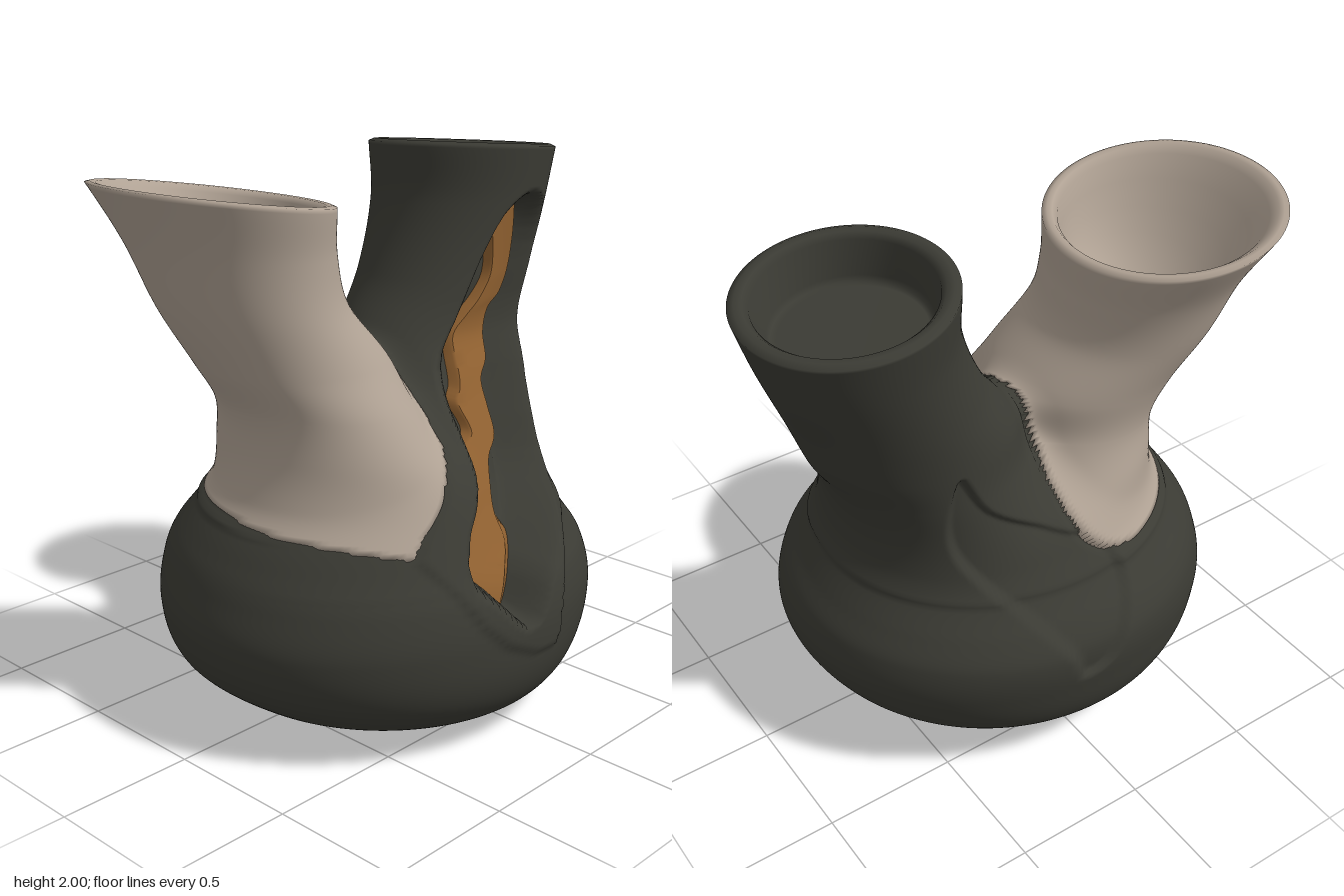
import * as THREE from 'three';
import { toCreasedNormals } from 'three/addons/utils/BufferGeometryUtils.js';

// Horizontal oval sections: [y, centre x, centre z, radius x, radius z]
const DARK = [
  [0, -.03, 0, .25, .32], [.015, -.03, 0, .42, .47], [.045, -.03, 0, .55, .56], [.1, -.04, .03, .65, .655],
  [.22, -.05, .015, .78, .75], [.4, -.035, 0, .845, .778], [.55, -.025, -.02, .815, .76], [.65, -.03, -.03, .76, .70],
  [.75, -.015, -.02, .685, .62], [.85, .06, -.015, .575, .55], [1, .2, -.03, .435, .455],
  [1.15, .31, -.07, .37, .375], [1.3, .39, -.13, .37, .31], [1.5, .5, -.15, .335, .31],
  [1.75, .6, -.17, .325, .33], [1.955, .64, -.185, .35, .355],
];
const LIGHT = [
  [.6, -.03, -.02, .79, .73], [.75, -.04, -.02, .66, .61], [.85, -.12, -.015, .525, .53],
  [1, -.25, -.03, .36, .45], [1.15, -.31, -.05, .31, .385], [1.3, -.37, -.1, .33, .35],
  [1.5, -.49, -.16, .31, .35], [1.7, -.55, -.195, .34, .375], [1.89, -.6, -.23, .395, .44],
];
// Rounded outlines in the x, y plane
const smoothLoop = (pts) => new THREE.CatmullRomCurve3(pts.map(([x, y]) => new THREE.Vector3(x, y, 0)), true)
  .getPoints(64).slice(0, -1).map((p) => [p.x, p.y]);
const WINDOW = smoothLoop([[-.245, .62], [-.17, .53], [-.06, .435], [.1, .57], [.2, .62], [.35, .71], [.47, .82], [.53, 1],
  [.6, 1.2], [.7, 1.45], [.755, 1.65], [.73, 1.76], [.64, 1.79], [.52, 1.73], [.4, 1.58], [.25, 1.36], [.1, 1.2],
  [.02, 1.02], [-.06, .89], [-.2, .73]]);
const LEAF = smoothLoop([[.39, 1.28], [.28, 1.1], [.05, .95], [-.12, .86], [-.18, .74], [-.12, .6], [-.02, .47], [.08, .45],
  [.12, .55], [.22, .68], [.34, .82], [.41, .94], [.43, 1.1]]);
const SEAM_SIDE = [[.7, -.41], [.75, -.37], [.87, -.23], [1.01, -.1], [1.18, -.035], [1.3, -.02], [2, -.02]]; // y -> x
const SEAM_LOW = [[-.7, .77], [-.4, .71], [-.33, .6], [-.27, .48], [-.18, .39], [-.05, .33], [.07, .32], [.1, .36],
  [.13, .46], [.2, .56], [.35, .65], [.6, .72], [.8, .75]]; // x -> y

const { clamp, lerp, smoothstep } = THREE.MathUtils;
const smin = (a, b, k) => Math.min(a, b) - Math.max(k - Math.abs(a - b), 0) ** 2 / (4 * k);

function linear(table, t) {
  let i = 0;
  while (i < table.length - 2 && t > table[i + 1][0]) i++;
  const [a, b] = [table[i], table[i + 1]];
  return lerp(a[1], b[1], clamp((t - a[0]) / (b[0] - a[0]), 0, 1));
}

// Smooth interpolation of the oval at height y
function section(table, y) {
  const n = table.length - 1;
  let i = 0;
  while (i < n - 1 && y > table[i + 1][0]) i++;
  const h = table[i + 1][0] - table[i][0], t = clamp((y - table[i][0]) / h, 0, 1);
  const slope = (j, c) => {
    const a = table[Math.max(j - 1, 0)], b = table[Math.min(j + 1, n)];
    return (b[c] - a[c]) / (b[0] - a[0]);
  };
  return [1, 2, 3, 4].map((c) => {
    const p = table[i][c], q = table[i + 1][c], u = 1 - t;
    return u * u * (1 + 2 * t) * p + t * u * u * h * slope(i, c) + t * t * (3 - 2 * t) * q - t * t * u * h * slope(i + 1, c);
  });
}

// Blended outline of both necks at height y; negative inside
function outline(y) {
  const d = section(DARK, y), l = section(LIGHT, y);
  const oval = ([cx, cz, rx, rz], x, z) => (Math.hypot((x - cx) / rx, (z - cz) / rz) - 1) * Math.min(rx, rz);
  const k = .002 + .14 * smoothstep(y, .6, .95);
  return (x, z) => (y < .6 ? oval(d, x, z) : smin(oval(d, x, z), oval(l, x, z), k));
}

// Distance inside a polygon (negative outside)
function inside(poly, x, y) {
  let best = Infinity, odd = false;
  poly.forEach(([ax, ay], i) => {
    const [bx, by] = poly[(i + 1) % poly.length], ex = bx - ax, ey = by - ay;
    const t = clamp(((x - ax) * ex + (y - ay) * ey) / (ex * ex + ey * ey), 0, 1);
    best = Math.min(best, Math.hypot(x - ax - t * ex, y - ay - t * ey));
    if ((ay > y) !== (by > y) && x < ax + ex * (y - ay) / ey) odd = !odd;
  });
  return odd ? best : -best;
}

// Positive where the light neck lies over the dark body
function lightCover(x, y, z) {
  const front = smoothstep(z, -.2, .15);
  const side = lerp(0, linear(SEAM_SIDE, y), front) - x;
  const low = y - lerp(.79, clamp(.77 - (x + .7) * .2, .7, .78), front);
  return smin(side, low, lerp(.3, .03, front));
}

// The light skin stands just proud, then dives well below the dark one
function lightOffset(x, y, z) {
  return clamp(lightCover(x, y, z) * 3, -.3, .008);
}

// Raised upper shell, deep front window recess and shallow back recess
function darkOffset(x, y, z) {
  const seam = z > 0 ? lerp(.75, linear(SEAM_LOW, x), smoothstep(z, .05, .3)) : .75;
  let off = .012 * Math.min(smoothstep(y - seam, -.005, .02), smoothstep(-lightCover(x, y, z), 0, .02));
  if (z > -.1 && y > .4) off -= lerp(.19, .12, smoothstep(y, 1, 1.5)) * smoothstep(inside(WINDOW, x, y), -.008, .045);
  if (z < -.3 && y > .4) off -= .025 * smoothstep(inside(LEAF, x, y), -.008, .02);
  return off;
}

// Lofts rows of [y, scale, isInner], tilts the rim and lifts by a share of the offset
function loft(table, rows, n, offset, lift, tiltX, tiltZ) {
  const pos = [], index = [];
  rows.forEach(([y, scale, inner], i) => {
    const [cx, cz, rx, rz] = section(table, y), f = outline(y);
    const reach = lerp(1.8, 1.35, smoothstep(y, .75, 1)), tilt = smoothstep(y, 1.4, 1.88);
    for (let j = 0; j < n; j++) {
      const a = (j / n) * Math.PI * 2, dx = Math.cos(a) * rx, dz = Math.sin(a) * rz;
      let s = 1, off = 0;
      if (!inner) {
        let lo = .9, hi = reach;
        for (let k = 0; k < 18; k++) {
          const m = (lo + hi) / 2;
          if (f(cx + dx * m, cz + dz * m) < 0) lo = m; else hi = m;
        }
        off = offset(cx + dx * lo, y, cz + dz * lo);
        s = lo + off / Math.hypot(dx, dz);
      }
      const ox = dx * s * scale, oz = dz * s * scale;
      pos.push(cx + ox, y + lift * off + tilt * (tiltX * ox + tiltZ * oz), cz + oz);
      if (i < rows.length - 1) {
        const p = i * n + j, q = i * n + (j + 1) % n;
        index.push(p, p + n, q, q, p + n, q + n);
      }
    }
  });
  const g = new THREE.BufferGeometry();
  g.setAttribute('position', new THREE.Float32BufferAttribute(pos, 3));
  g.setIndex(index);
  g.computeVertexNormals();
  return g;
}

const steps = (a, b, n) => Array.from({ length: n + 1 }, (_, i) => [a + (b - a) * i / n, 1, false]);

// Front surface depth at x, y
function frontZ(x, y) {
  const f = outline(y);
  let lo = section(DARK, y)[1], hi = 1;
  for (let k = 0; k < 20; k++) {
    const m = (lo + hi) / 2;
    if (f(x, m) < 0) lo = m; else hi = m;
  }
  return lo;
}

// Wavy ribbon between two edge curves, lying in the window recess
function ribbonGeometry() {
  const curve = (pts) => new THREE.CatmullRomCurve3(pts.map(([x, y]) => new THREE.Vector3(x, y, 0)));
  const left = curve([[.5, 1.69], [.505, 1.6], [.49, 1.5], [.43, 1.42], [.36, 1.36], [.29, 1.3], [.25, 1.21], [.21, 1.13],
    [.165, 1.08], [.15, .99], [.07, .95], [-.01, .89], [-.08, .82], [-.18, .73], [-.235, .66], [-.245, .61]]);
  const right = curve([[.67, 1.78], [.675, 1.62], [.66, 1.51], [.61, 1.42], [.54, 1.38], [.505, 1.28], [.465, 1.2],
    [.37, 1.14], [.345, 1.04], [.31, .95], [.22, .89], [.16, .8], [.13, .72], [.145, .65], [.04, .55], [-.06, .44]]);
  const across = [[0, 1], [0, .1], [.03, 0], [.25, 0], [.5, 0], [.76, 0], [.79, .08], [1, .5], [1, 1]];
  const pos = [], index = [], rows = 110, w = across.length;
  for (let i = 0; i <= rows; i++) {
    const t = i / rows, a = left.getPoint(t), b = right.getPoint(t);
    const top = lerp(.065, .13, smoothstep(t, .2, .55)) - .025 * smoothstep(t, .75, 1);
    across.forEach(([u, drop], j) => {
      const x = lerp(a.x, b.x, u), y = lerp(a.y, b.y, u);
      pos.push(x, y, frontZ(x, y) - top - .1 * drop);
      if (i < rows && j < w - 1) {
        const p = i * w + j;
        index.push(p, p + w, p + 1, p + 1, p + w, p + w + 1);
      }
    });
  }
  const g = new THREE.BufferGeometry();
  g.setAttribute('position', new THREE.Float32BufferAttribute(pos, 3));
  g.setIndex(index);
  return toCreasedNormals(g, .7);
}

export function createModel() {
  const material = (name, color, side = THREE.FrontSide) => {
    const m = new THREE.MeshStandardMaterial({ color, side });
    m.name = name;
    return m;
  };
  const group = new THREE.Group();
  group.name = 'twoNeckedVase';
  const add = (name, geometry, mat) => {
    const mesh = new THREE.Mesh(geometry, mat);
    mesh.name = name;
    group.add(mesh);
  };

  // Dark body with its neck, rim and shallow cup; rows are denser at the saddle
  const darkRows = [[0, 0], [0, .5], ...steps(0, 1.15, 100), ...steps(1.155, 1.34, 35), ...steps(1.35, 1.955, 50),
    [1.965, .97, true], [1.963, .9, true], [1.945, .85, true], [1.82, .81, true], [1.8, .79, true], [1.795, .74, true],
    [1.795, 0, true]];
  add('bodyAndDarkNeck', loft(DARK, darkRows, 240, darkOffset, 0, -.1, .05), material('charcoal', 0x3b3b34));

  // Light neck with its rim and rounded bowl
  const lightRows = [...steps(.64, 1.15, 40), ...steps(1.155, 1.34, 35), ...steps(1.35, 1.89, 34), [1.9, .975, true],
    [1.897, .93, true], [1.875, .885, true], [1.8, .85, true], [1.72, .78, true], [1.65, .67, true], [1.59, .5, true],
    [1.555, .28, true], [1.545, .1, true], [1.543, 0, true]];
  add('lightNeck', loft(LIGHT, lightRows, 160, lightOffset, .5, -.15, 0), material('sand', 0xb0a294));

  add('wavyRibbon', ribbonGeometry(), material('ochre', 0x8f6030, THREE.DoubleSide));
  return group;
}
